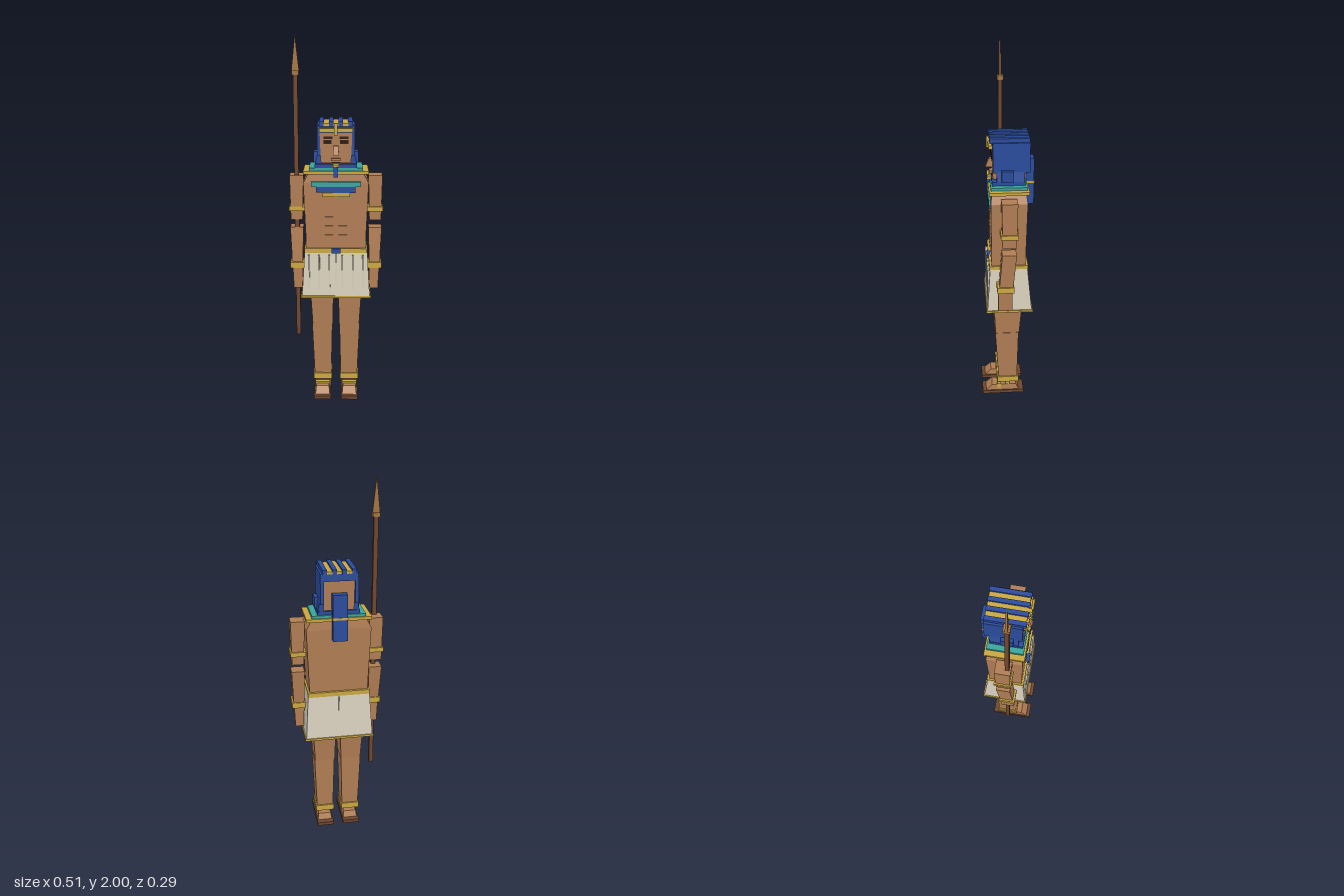
import * as THREE from 'three';

const mat = (name, color) => Object.assign(new THREE.MeshStandardMaterial({ color }), { name });

export function createModel() {
  const model = new THREE.Group();
  model.name = 'spearGuard';
  const skin = mat('skin', 0xb07d54), gold = mat('gold', 0xc9a73f), blue = mat('blue', 0x2a4b9b),
    teal = mat('teal', 0x38a59c), linen = mat('linen', 0xd6cebb), wood = mat('wood', 0x6e462d),
    bronze = mat('bronze', 0xa2723f), dark = mat('dark', 0x2a1b14);

  // Tapered block: bottom and top are [x0, x1, z0, z1]
  function block(name, material, y0, y1, bottom, top = bottom) {
    const geo = new THREE.BoxGeometry(1, 1, 1);
    const p = geo.attributes.position;
    for (let i = 0; i < p.count; i++) {
      const up = p.getY(i) > 0, r = up ? top : bottom;
      p.setXYZ(i, p.getX(i) > 0 ? r[1] : r[0], up ? y1 : y0, p.getZ(i) > 0 ? r[3] : r[2]);
    }
    geo.computeVertexNormals();
    const mesh = new THREE.Mesh(geo, material);
    mesh.name = name;
    model.add(mesh);
    return mesh;
  }
  // Block symmetric about x = 0: ends are [halfWidth, z0, z1]
  const sym = (name, m, y0, y1, b, t = b) =>
    block(name, m, y0, y1, [-b[0], b[0], b[1], b[2]], [-t[0], t[0], t[1], t[2]]);
  // Mirrored pair, given for the left (+x) side
  const flip = (r) => [-r[1], -r[0], r[2], r[3]];
  function pair(name, m, y0, y1, b, t = b) {
    block(name + 'Left', m, y0, y1, b, t);
    block(name + 'Right', m, y0, y1, flip(b), flip(t));
  }

  // Feet and sandals
  pair('sandalSole', wood, 0, 0.02, [0.028, 0.124, -0.095, 0.146]);
  pair('foot', skin, 0.02, 0.055, [0.035, 0.117, -0.065, 0.125], [0.04, 0.112, -0.05, 0.09]);
  pair('toeStrap', gold, 0.035, 0.066, [0.034, 0.118, 0.038, 0.06]);
  pair('ankle', skin, 0.05, 0.09, [0.042, 0.11, -0.008, 0.008]);
  pair('ankleStrap', gold, 0.06, 0.075, [0.034, 0.118, -0.012, 0.012]);

  // Legs
  pair('shin', skin, 0.08, 0.43, [0.028, 0.12, -0.055, 0.05], [0.02, 0.133, -0.062, 0.07]);
  pair('anklet', gold, 0.085, 0.12, [0.022, 0.128, -0.064, 0.06]);
  pair('thigh', skin, 0.43, 0.64, [0.018, 0.13, -0.066, 0.068], [0.013, 0.142, -0.082, 0.078]);

  // Kilt with hem, pleats and belt
  sym('kilt', linen, 0.607, 0.86, [0.186, -0.13, 0.115], [0.17, -0.105, 0.097]);
  sym('kiltHem', gold, 0.602, 0.614, [0.192, -0.135, 0.12]);
  for (const x of [-0.147, -0.092, -0.035, 0.035, 0.092, 0.147])
    block('pleat', linen, 0.62, 0.845, [x - 0.004, x + 0.004, 0.09, 0.112]);
  block('frontFold', linen, 0.62, 0.85, [-0.003, 0.003, 0.09, 0.109]);
  block('backFold', linen, 0.62, 0.85, [-0.003, 0.003, -0.116, -0.09]);
  sym('belt', gold, 0.855, 0.88, [0.17, -0.108, 0.1]);
  sym('buckle', blue, 0.855, 0.881, [0.025, 0.09, 0.108]);

  // Torso
  sym('torso', skin, 0.88, 1.24, [0.16, -0.094, 0.088], [0.174, -0.102, 0.09]);
  sym('shoulders', skin, 1.24, 1.295, [0.174, -0.102, 0.09], [0.145, -0.095, 0.083]);
  sym('chestLine', skin, 1.08, 1.165, [0.003, 0.085, 0.093]);
  for (const y of [0.95, 1.0, 1.05])
    pair('bellyLine', skin, y, y + 0.006, [0.015, 0.06, 0.085, 0.093]);
  sym('neck', skin, 1.29, 1.37, [0.05, -0.06, 0.05]);

  // Chest ornament
  sym('chestBandTeal', teal, 1.222, 1.248, [0.132, 0.084, 0.1]);
  sym('chestBandBlue', blue, 1.19, 1.221, [0.105, 0.084, 0.099]);
  sym('chestBandGold', gold, 1.167, 1.189, [0.074, 0.084, 0.098]);

  // Stepped collar
  sym('collarGold', gold, 1.288, 1.305, [0.174, -0.112, 0.098]);
  sym('collarTeal', teal, 1.305, 1.32, [0.143, -0.103, 0.088]);
  sym('collarBlue', blue, 1.32, 1.34, [0.112, -0.094, 0.08]);

  // Arms
  pair('upperArm', skin, 1.025, 1.272, [0.182, 0.246, -0.04, 0.034], [0.175, 0.25, -0.045, 0.038]);
  pair('armband', gold, 1.075, 1.1, [0.17, 0.255, -0.05, 0.043]);
  pair('forearm', skin, 0.775, 0.983, [0.183, 0.24, -0.022, 0.052], [0.178, 0.25, -0.04, 0.036]);
  pair('bracelet', gold, 0.757, 0.79, [0.174, 0.25, -0.028, 0.063]);
  pair('hand', skin, 0.64, 0.76, [0.186, 0.233, -0.018, 0.058], [0.182, 0.238, -0.018, 0.056]);

  // Head and face
  sym('head', skin, 1.345, 1.53, [0.08, -0.098, 0.074], [0.086, -0.1, 0.078]);
  sym('nose', skin, 1.392, 1.438, [0.016, 0.07, 0.11], [0.012, 0.07, 0.092]);
  sym('lips', skin, 1.358, 1.372, [0.025, 0.07, 0.09]);
  sym('mouth', dark, 1.346, 1.352, [0.022, 0.07, 0.08]);
  pair('eye', dark, 1.448, 1.464, [0.022, 0.066, 0.07, 0.08]);
  pair('brow', dark, 1.474, 1.486, [0.018, 0.066, 0.07, 0.081]);
  sym('beardTie', gold, 1.325, 1.34, [0.016, 0.07, 0.102]);
  sym('beard', blue, 1.272, 1.328, [0.012, 0.078, 0.104]);

  // Headdress
  sym('cap', blue, 1.505, 1.542, [0.092, -0.116, 0.078]);
  sym('capGold', gold, 1.54, 1.556, [0.088, -0.116, 0.086]);
  for (const x of [-0.077, -0.025, 0.025, 0.077])
    block('capStripe', blue, 1.54, 1.566, [x - 0.012, x + 0.012, -0.118, 0.09]);
  sym('browBand', gold, 1.51, 1.53, [0.088, 0.07, 0.096]);
  sym('browOrnament', gold, 1.495, 1.556, [0.009, 0.08, 0.104]);
  pair('sidePanel', blue, 1.385, 1.545, [0.082, 0.1, -0.119, 0.074]);
  pair('sidePanelLower', blue, 1.34, 1.39, [0.08, 0.11, -0.09, 0.055], [0.08, 0.1, -0.09, 0.055]);
  pair('lappet', blue, 1.34, 1.4, [0.09, 0.12, -0.034, 0.03]);
  sym('backTail', blue, 1.188, 1.44, [0.039, -0.146, -0.104]);
  sym('tailBand', gold, 1.305, 1.317, [0.041, -0.148, -0.104]);

  // Spear held at the right side
  const spear = (name, m, y0, y1, w0, d0, w1 = w0, d1 = d0) => block(name, m, y0, y1,
    [-0.212 - w0, -0.212 + w0, 0.018 - d0, 0.018 + d0], [-0.212 - w1, -0.212 + w1, 0.018 - d1, 0.018 + d1]);
  spear('spearShaft', wood, 0.348, 1.81, 0.012, 0.011);
  spear('spearCollar', bronze, 1.8, 1.822, 0.019, 0.017);
  spear('spearBlade', bronze, 1.822, 2, 0.02, 0.006, 0.0005, 0.004);
  return model;
}
